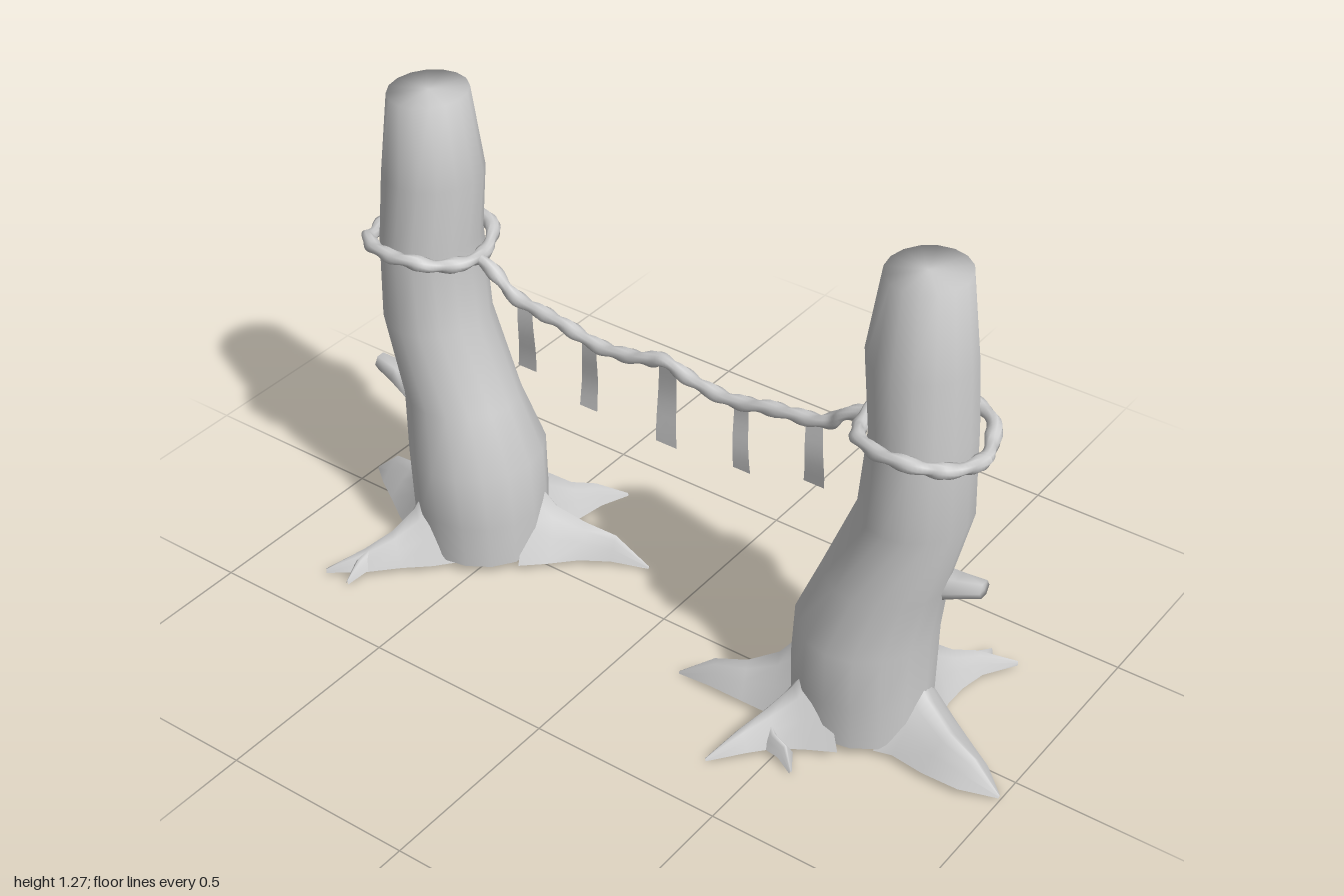
import * as THREE from 'three';

const material = new THREE.MeshStandardMaterial({ color: 0xcccccc, side: THREE.DoubleSide });

// Skin a list of cross-sections, each an array of [x, y, z] with the same count
function loft(name, sections, closed = true) {
  const n = sections[0].length, index = [];
  const geometry = new THREE.BufferGeometry();
  geometry.setAttribute('position', new THREE.Float32BufferAttribute(sections.flat(2), 3));
  for (let i = 0; i < sections.length - 1; i++) {
    for (let j = 0; j < (closed ? n : n - 1); j++) {
      const k = (j + 1) % n, a = i * n + j, b = i * n + k;
      index.push(a, a + n, b, b, a + n, b + n);
    }
  }
  geometry.setIndex(index);
  geometry.computeVertexNormals();
  const mesh = new THREE.Mesh(geometry, material);
  mesh.name = name;
  return mesh;
}

// Root: open arch swept along the ground, stations are [x, z, halfWidth, height]
function root(name, stations) {
  const sections = stations.map(([x, z, w, h], i) => {
    const p = stations[Math.max(i - 1, 0)], q = stations[Math.min(i + 1, stations.length - 1)];
    const dx = q[0] - p[0], dz = q[1] - p[1], len = Math.hypot(dx, dz);
    return [-1, -0.6, -0.25, 0, 0.25, 0.6, 1].map((t) => {
      const foot = Math.min(0.02, h * 0.4);
      return [x - (dz / len) * w * t, foot + (h - foot) * (1 - Math.abs(t)) ** 0.8, z + (dx / len) * w * t];
    });
  });
  return loft(name, sections, false);
}

// Two-strand rope: lobed section that twists along a curve
function rope(name, curve, steps, closed) {
  const sections = [], turns = Math.round(curve.getLength() / 0.085), up = new THREE.Vector3(0, 1, 0);
  for (let i = 0; i <= steps; i++) {
    const u = i / steps, p = curve.getPointAt(u), t = curve.getTangentAt(u);
    const side = new THREE.Vector3().crossVectors(t, up).normalize();
    const top = new THREE.Vector3().crossVectors(side, t);
    const ring = [];
    for (let j = 0; j < 10; j++) {
      const a = (j / 10) * Math.PI * 2;
      const r = 0.0165 + 0.0035 * Math.cos(2 * a - u * turns * Math.PI * 2);
      ring.push(p.clone().addScaledVector(side, r * Math.cos(a)).addScaledVector(top, r * Math.sin(a)).toArray());
    }
    sections.push(ring);
  }
  // close the ends of a hanging rope
  if (!closed) {
    sections.unshift(sections[0].map(() => curve.getPointAt(0).toArray()));
    sections.push(sections[0].map(() => curve.getPointAt(1).toArray()));
  }
  return loft(name, sections);
}

// Leaning stump with roots, a broken twig and a rope loop
function createPost() {
  const post = new THREE.Group();

  // Trunk levels: y, left x, right x, half depth
  const levels = [
    [0.03, 0.405, 0.75, 0.165], [0.15, 0.405, 0.75, 0.172], [0.3, 0.415, 0.75, 0.18],
    [0.45, 0.475, 0.77, 0.143], [0.66, 0.56, 0.82, 0.141], [0.88, 0.58, 0.812, 0.138],
    [1.06, 0.555, 0.802, 0.126], [1.27, 0.587, 0.775, 0.104], [1.27, 0.68, 0.68, 0],
  ];
  const rootAngles = [0.1, 2.83, 2.08, -1.07];
  const sections = levels.map(([y, x0, x1, d], i) => Array.from({ length: 16 }, (_, j) => {
    const a = (j / 16) * Math.PI * 2;
    let lift = 0;
    if (i === 0) {
      // arches in the bottom edge where the hollow roots branch off
      for (const r of rootAngles) {
        const gap = Math.abs(Math.atan2(Math.sin(a - r), Math.cos(a - r)));
        lift = Math.max(lift, 0.09 * (1 - gap / 0.4));
      }
    }
    return [(x0 + x1) / 2 + ((x1 - x0) / 2) * Math.cos(a), y + lift, d * Math.sin(a)];
  }));
  post.add(loft('trunk', sections));

  // Roots and their forks
  post.add(
    root('outerRoot', [[0.71, 0, 0.12, 0.22], [0.76, 0.01, 0.1, 0.14], [0.84, 0.04, 0.08, 0.1],
      [0.92, 0.06, 0.055, 0.078], [0.995, 0.065, 0.004, 0.008]]),
    root('innerRoot', [[0.45, 0.05, 0.12, 0.22], [0.39, 0.07, 0.09, 0.14], [0.32, 0.1, 0.058, 0.1],
      [0.24, 0.122, 0.034, 0.08], [0.15, 0.142, 0.004, 0.008]]),
    root('frontRoot', [[0.52, 0.11, 0.12, 0.22], [0.49, 0.16, 0.085, 0.15], [0.455, 0.215, 0.055, 0.1],
      [0.425, 0.28, 0.034, 0.07], [0.38, 0.36, 0.004, 0.01]]),
    root('frontRootFork', [[0.45, 0.21, 0.035, 0.085], [0.49, 0.24, 0.024, 0.06],
      [0.53, 0.25, 0.02, 0.05], [0.565, 0.28, 0.003, 0.01]]),
    root('backRoot', [[0.65, -0.11, 0.11, 0.22], [0.665, -0.16, 0.085, 0.15], [0.695, -0.22, 0.055, 0.1],
      [0.73, -0.285, 0.034, 0.07], [0.8, -0.36, 0.003, 0.02]]),
    root('backRootFork', [[0.715, -0.26, 0.03, 0.075], [0.73, -0.31, 0.022, 0.055], [0.725, -0.365, 0.003, 0.02]]),
  );

  // Broken twig: x, y, z, half height, half depth
  const twig = [[0.73, 0.435, -0.045, 0.04, 0.055], [0.79, 0.452, -0.047, 0.03, 0.038],
    [0.85, 0.468, -0.05, 0.023, 0.022], [0.85, 0.468, -0.05, 0, 0]];
  post.add(loft('twig', twig.map(([x, y, z, h, d]) => Array.from({ length: 6 }, (_, j) => {
    const a = (j / 6) * Math.PI * 2;
    return [x, y + h * Math.sin(a), z + d * Math.cos(a)];
  }))));

  // Rope loop, riding higher at front and back
  const loop = [];
  for (let j = 0; j < 16; j++) {
    const a = (j / 16) * Math.PI * 2, wobble = 0.004 * Math.sin(j * 2.4);
    loop.push(new THREE.Vector3(0.7 + (0.147 + wobble) * Math.cos(a),
      0.857 + 0.025 * Math.sin(a) ** 2 + wobble, (0.149 + wobble) * Math.sin(a)));
  }
  post.add(rope('ropeLoop', new THREE.CatmullRomCurve3(loop, true), 120, true));
  return post;
}

// Thin, gently curling paper strip
function createStrip(x, top, bottom, width, phase) {
  const geometry = new THREE.PlaneGeometry(width, top - bottom, 2, 6);
  const p = geometry.attributes.position;
  for (let i = 0; i < p.count; i++) {
    const v = 0.5 - p.getY(i) / (top - bottom);
    p.setX(i, p.getX(i) * (0.8 + 0.2 * v) + 0.005 * Math.sin(v * 4 + phase));
    p.setZ(i, 0.006 * Math.sin(v * 5 + phase));
  }
  geometry.computeVertexNormals();
  const strip = new THREE.Mesh(geometry, material);
  strip.name = 'paperStrip';
  strip.position.set(x, (top + bottom) / 2, 0);
  return strip;
}

export function createModel() {
  const model = new THREE.Group();

  // Matching posts, the second turned half way round
  const leftPost = createPost(), rightPost = createPost();
  leftPost.name = 'leftPost';
  rightPost.name = 'rightPost';
  rightPost.rotation.y = Math.PI;
  model.add(leftPost, rightPost);

  // Sagging rope between the posts
  const half = [[0.045, 0.763], [0.11, 0.748], [0.19, 0.742], [0.3, 0.764], [0.45, 0.79], [0.49, 0.825], [0.56, 0.862]];
  const points = [...half.map(([x, y]) => [-x, y]).reverse(), [0, 0.777], ...half];
  const curve = new THREE.CatmullRomCurve3(points.map(([x, y]) => new THREE.Vector3(x, y, 0)));
  model.add(rope('hangingRope', curve, 150, false));

  // Strips hung along the rope
  [[-0.412, 0.785, 0.587, 0.055], [-0.22, 0.745, 0.55, 0.052], [0.01, 0.77, 0.545, 0.06],
    [0.22, 0.745, 0.56, 0.048], [0.418, 0.785, 0.6, 0.056]]
    .forEach((s, i) => model.add(createStrip(...s, i * 1.3)));
  return model;
}
